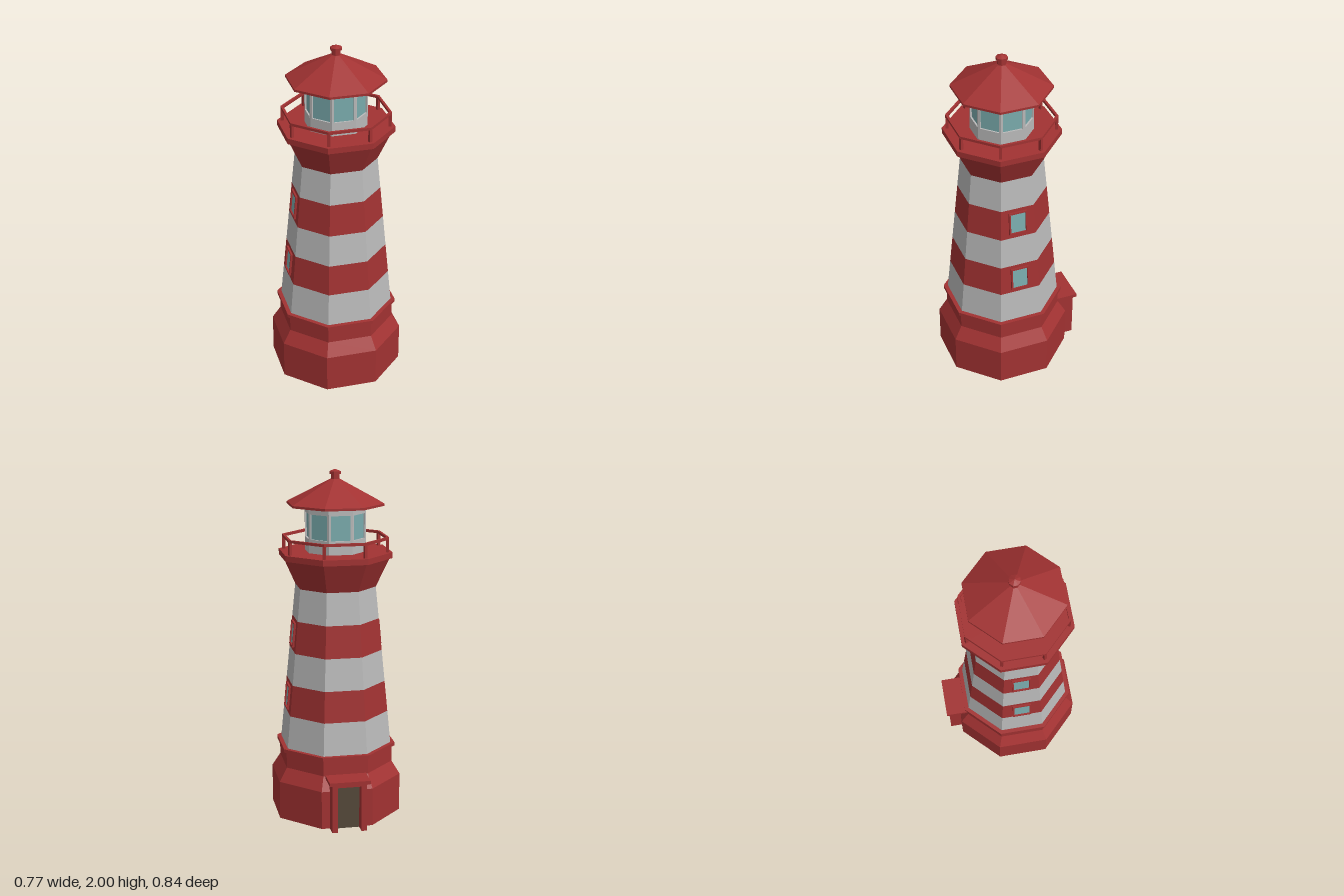
import * as THREE from 'three';

const SIDES = 8;
const STEP = Math.PI / 4;
const APOTHEM = Math.cos(STEP / 2);

export function createModel() {
  const material = (name, color) => {
    const m = new THREE.MeshStandardMaterial({ color });
    m.name = name;
    return m;
  };
  const red = material('red', 0xa23232);
  const white = material('white', 0xbababa);
  const glass = material('glass', 0x7aabad);
  const wood = material('door wood', 0x55483a);

  const model = new THREE.Group();
  model.name = 'lighthouse';
  const tower = new THREE.Group();
  tower.name = 'tower';
  tower.position.z = 0.032;
  model.add(tower);

  const add = (name, geometry, mat, parent = tower) => {
    const mesh = new THREE.Mesh(geometry, mat);
    mesh.name = name;
    parent.add(mesh);
    return mesh;
  };

  // Faceted eight-sided solid from [radius, y] points
  const octagon = (name, points, mat) => {
    const lathe = new THREE.LatheGeometry(points.map(p => new THREE.Vector2(...p)), SIDES);
    const flat = lathe.toNonIndexed();
    flat.computeVertexNormals();
    return add(name, flat, mat);
  };

  // Box standing on y0
  const block = (name, w, h, d, x, y0, z, mat, parent) => {
    const mesh = add(name, new THREE.BoxGeometry(w, h, d), mat, parent);
    mesh.position.set(x, y0 + h / 2, z);
    return mesh;
  };

  // Rectangular frame with an opening, extruded toward +z
  const frameGeometry = (w, h, side, bottom, top, depth) => {
    const rect = (T, x0, y0, x1, y1) => new T([
      new THREE.Vector2(x0, y0), new THREE.Vector2(x1, y0),
      new THREE.Vector2(x1, y1), new THREE.Vector2(x0, y1)]);
    const shape = rect(THREE.Shape, -w / 2, -h / 2, w / 2, h / 2);
    shape.holes.push(rect(THREE.Path, -w / 2 + side, -h / 2 + bottom, w / 2 - side, h / 2 - top));
    return new THREE.ExtrudeGeometry(shape, { depth, bevelEnabled: false });
  };

  // Base with sloped shoulder, and ledge
  octagon('base', [[0, 0], [0.385, 0], [0.385, 0.223], [0.336, 0.3], [0.336, 0.397], [0, 0.397]], red);
  octagon('ledge', [[0, 0.395], [0.353, 0.395], [0.353, 0.415], [0, 0.415]], red);

  // Tapered striped shaft
  const bands = [0.415, 0.605, 0.785, 0.97, 1.155, 1.34];
  const shaftRadius = y => THREE.MathUtils.mapLinear(y, 0.415, 1.34, 0.328, 0.235);
  for (let i = 0; i < 5; i++) {
    const [y0, y1] = [bands[i], bands[i + 1]];
    octagon('shaftBand', [[shaftRadius(y0), y0], [shaftRadius(y1), y1]], i % 2 ? red : white);
  }

  // Windows on two opposite faces
  const tilt = -Math.atan((0.328 - 0.235) * APOTHEM / 0.925);
  for (const angle of [1.5 * STEP, 5.5 * STEP]) {
    for (const y of [0.695, 1.065]) {
      const win = new THREE.Group();
      win.name = 'window';
      const d = shaftRadius(y) * APOTHEM;
      win.position.set(Math.sin(angle) * d, y, Math.cos(angle) * d);
      win.rotation.set(tilt, angle, 0, 'YXZ');
      tower.add(win);
      add('windowFrame', frameGeometry(0.108, 0.14, 0.009, 0.009, 0.009, 0.014), red, win).position.z = -0.002;
      add('windowPane', new THREE.BoxGeometry(0.094, 0.126, 0.006), glass, win);
    }
  }

  // Flared gallery and its deck
  octagon('galleryFlare', [[0.235, 1.34], [0.313, 1.507]], red);
  octagon('galleryDeck', [[0, 1.507], [0.33, 1.507], [0.33, 1.54], [0, 1.54]], red);

  // Railing
  octagon('handrail', [[0.294, 1.61], [0.309, 1.61], [0.309, 1.625], [0.294, 1.625], [0.294, 1.61]], red);
  for (let i = 0; i < SIDES; i++) {
    const a = i * STEP;
    const post = block('railingPost', 0.016, 0.075, 0.016, Math.sin(a) * 0.3, 1.538, Math.cos(a) * 0.3, red);
    post.rotation.y = a;
  }

  // Lantern room: glazed core behind a framed panel on each face
  octagon('lanternGlass', [[0.166, 1.54], [0.166, 1.805]], glass);
  const panelWidth = 2 * 0.176 * Math.sin(STEP / 2);
  const panel = frameGeometry(panelWidth, 0.265, 0.012, 0.078, 0.047, 0.014);
  for (let i = 0; i < SIDES; i++) {
    const a = (i + 0.5) * STEP;
    const d = 0.176 * APOTHEM - 0.014;
    const mesh = add('lanternFrame', panel, white);
    mesh.position.set(Math.sin(a) * d, 1.6725, Math.cos(a) * d);
    mesh.rotation.y = a;
  }

  // Roof with finial
  octagon('roof', [[0, 1.8], [0.28, 1.8], [0.28, 1.813], [0.027, 1.945], [0, 1.945]], red);
  octagon('finial', [[0.025, 1.94], [0.025, 1.972], [0.033, 1.972], [0.033, 1.987], [0, 2]], red);

  // Entrance porch on a rear face
  const porch = new THREE.Group();
  porch.name = 'porch';
  porch.rotation.y = 3.5 * STEP;
  tower.add(porch);
  block('porchRoof', 0.234, 0.02, 0.142, 0, 0.285, 0.371, red, porch);
  for (const s of [-1, 1]) {
    block('porchWall', 0.032, 0.286, 0.126, s * 0.084, 0, 0.363, red, porch);
  }
  block('porchLintel', 0.138, 0.018, 0.126, 0, 0.268, 0.363, red, porch);
  block('door', 0.138, 0.27, 0.06, 0, 0, 0.334, wood, porch);

  return model;
}
